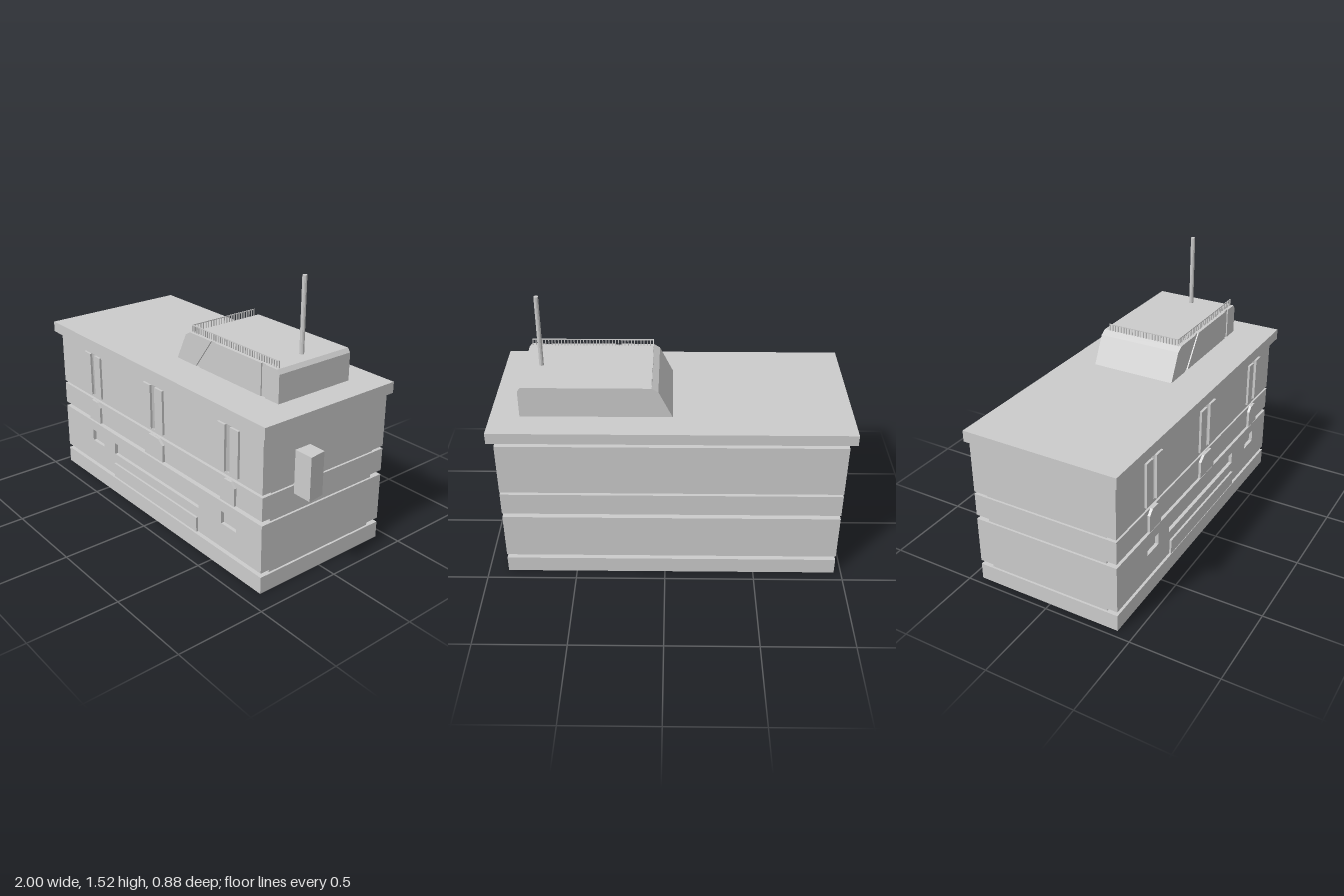
import * as THREE from 'three';

const solid = new THREE.MeshStandardMaterial({ color: 0xcccccc, flatShading: true });
const thin = new THREE.MeshStandardMaterial({ color: 0xcccccc, flatShading: true, side: THREE.DoubleSide });
const FRONT = 0.41;

function add(parent, name, geometry, material = solid) {
  const mesh = new THREE.Mesh(geometry, material);
  mesh.name = name;
  parent.add(mesh);
  return mesh;
}

// Box given by its limits on each axis
function box(parent, name, [x0, x1], [y0, y1], [z0, z1]) {
  const g = new THREE.BoxGeometry(x1 - x0, y1 - y0, z1 - z0);
  g.translate((x0 + x1) / 2, (y0 + y1) / 2, (z0 + z1) / 2);
  return add(parent, name, g);
}

// Polygon in the front plane, pushed out from z0 to z1
function slab(parent, name, points, z0, z1) {
  const shape = new THREE.Shape(points.map(p => new THREE.Vector2(...p)));
  const g = new THREE.ExtrudeGeometry(shape, { depth: z1 - z0, bevelEnabled: false });
  g.translate(0, 0, z0);
  return add(parent, name, g);
}

const rect = (x0, x1, y0, y1) => [[x0, y0], [x1, y0], [x1, y1], [x0, y1]];

// Geometry from four-cornered faces
function quads(list) {
  const pos = [];
  for (const [a, b, c, d] of list) pos.push(...a, ...b, ...c, ...a, ...c, ...d);
  const g = new THREE.BufferGeometry();
  g.setAttribute('position', new THREE.Float32BufferAttribute(pos, 3));
  g.computeVertexNormals();
  return g;
}

// Flat front wall with rectangular openings
function frontWall(parent, name, x0, x1, y0, y1, openings) {
  const shape = new THREE.Shape(rect(x0, x1, y0, y1).map(p => new THREE.Vector2(...p)));
  for (const o of openings) {
    shape.holes.push(new THREE.Path(rect(...o).reverse().map(p => new THREE.Vector2(...p))));
  }
  add(parent, name, new THREE.ShapeGeometry(shape).translate(0, 0, FRONT), thin);
}

// Shallow tray behind an opening
function recess(parent, name, [x0, x1, y0, y1], depth) {
  const outer = rect(x0, x1, y0, y1).map(p => [...p, FRONT]);
  const inner = rect(x0, x1, y0, y1).map(p => [...p, FRONT - depth]);
  const faces = [inner];
  for (let i = 0; i < 4; i++) {
    const j = (i + 1) % 4;
    faces.push([outer[i], outer[j], inner[j], inner[i]]);
  }
  add(parent, name, quads(faces), thin);
}

// V-shaped notch behind an opening
function notch(parent, name, [x0, x1, y0, y1], depth) {
  const xm = (x0 + x1) / 2, zi = FRONT - depth;
  const a = y => [x0, y, FRONT], b = y => [xm, y, zi], c = y => [x1, y, FRONT];
  add(parent, name, quads([
    [a(y0), b(y0), b(y1), a(y1)],
    [b(y0), c(y0), c(y1), b(y1)],
    [a(y0), c(y0), b(y0), b(y0)],
    [a(y1), b(y1), c(y1), c(y1)],
  ]), thin);
}

function buildBody() {
  const body = new THREE.Group();
  body.name = 'body';
  const ring = (y, inset) => {
    const x0 = inset ? -0.948 : -0.96, x1 = inset ? 0.878 : 0.89;
    const z0 = inset ? -0.37 : -0.44, z1 = inset ? 0.345 : FRONT;
    return [[x0, y, z1], [x1, y, z1], [x1, y, z0], [x0, y, z0]];
  };

  // Hollow stack of bands with set-back joints, open underneath
  const bands = [[0, 0.095], [0.12, 0.39], [0.415, 0.545], [0.56, 0.86]];
  const rings = [], pierced = new Set();
  bands.forEach(([y0, y1], i) => {
    if (i % 2) pierced.add(rings.length);
    const next = i < 3 ? bands[i + 1][0] : 0.88;
    rings.push(ring(y0, false), ring(y1, false), ring(y1, true), ring(next, true));
  });
  const faces = [];
  for (let r = 0; r < rings.length - 1; r++) {
    for (let i = 0; i < 4; i++) {
      if (i === 0 && pierced.has(r)) continue;
      const j = (i + 1) % 4;
      faces.push([rings[r][i], rings[r][j], rings[r + 1][j], rings[r + 1][i]]);
    }
  }
  add(body, 'bandedWalls', quads(faces), thin);

  // Lower front wall with windows
  const windows = [[-0.655, -0.535, 0.262, 0.333], [-0.415, 0.39, 0.262, 0.333], [0.58, 0.697, 0.262, 0.333]];
  frontWall(body, 'lowerFrontWall', -0.96, 0.89, 0.12, 0.39, windows);
  windows.forEach(w => recess(body, 'windowRecess', w, 0.02));
  box(body, 'frontLedge', [-0.41, 0.385], [0.12, 0.205], [0.4, 0.422]);

  // Upper front wall: pairs of raised panels beside a notch
  const bays = [
    [-0.685, -0.62, -0.583, -0.52],
    [-0.082, -0.015, 0.025, 0.095],
    [0.56, 0.617, 0.657, 0.72],
  ];
  const slots = bays.map(b => [b[1], b[2], 0.577, 0.838]);
  frontWall(body, 'upperFrontWall', -0.96, 0.89, 0.56, 0.86, slots);
  slots.forEach(s => notch(body, 'bayNotch', s, 0.03));
  for (const [a, b, c, d] of bays) {
    box(body, 'bayPanel', [a, b], [0.58, 0.837], [0.4, 0.423]);
    box(body, 'bayPanel', [c, d], [0.58, 0.837], [0.4, 0.423]);
  }

  // Clipped arches on the middle band
  for (const [x0, x1, cut] of [[-0.655, -0.54, 0.028], [-0.075, 0.093, 0.04], [0.59, 0.697, 0.028]]) {
    slab(body, 'arch', [[x0, 0.416], [x1, 0.416], [x1, 0.515], [x1 - cut, 0.544], [x0 + cut, 0.544], [x0, 0.515]], 0.4, 0.425);
  }

  // Box on the side wall, its outer face slightly skewed
  const side = box(body, 'sideBox', [0.885, 1], [0.5, 0.74], [0.105, 0.203]);
  const p = side.geometry.attributes.position;
  for (let i = 0; i < p.count; i++) if (p.getX(i) > 0.95 && p.getZ(i) < 0.15) p.setX(i, 0.988);
  side.geometry.computeVertexNormals();
  return body;
}

function buildCabin() {
  const cabin = new THREE.Group();
  cabin.name = 'roofCabin';
  const outline = [[-0.04, 0.94], [0.772, 0.94], [0.772, 1.093], [0.755, 1.115], [0.07, 1.115], [0.035, 1.093]];
  slab(cabin, 'cabinCore', outline, -0.272, 0.207);

  // Front cladding, split by a slanted and an upright joint
  slab(cabin, 'claddingRear', [[-0.04, 0.94], [0.122, 0.94], [0.252, 1.115], [0.07, 1.115], [0.035, 1.093]], 0.2, 0.214);
  slab(cabin, 'claddingMiddle', [[0.152, 0.94], [0.642, 0.94], [0.642, 1.115], [0.282, 1.115]], 0.2, 0.214);
  slab(cabin, 'claddingEnd', [[0.675, 0.94], [0.772, 0.94], [0.772, 1.093], [0.755, 1.115], [0.675, 1.115]], 0.2, 0.214);

  // Railing along the front and the sloped end
  const railing = new THREE.Group();
  railing.name = 'railing';
  const x0 = 0.07, x1 = 0.747, z0 = -0.238, z1 = 0.194, t = 0.0025;
  const post = (x, z) => box(railing, 'railingPost', [x - t, x + t], [1.112, 1.152], [z - t, z + t]);
  for (let i = 0; i <= 38; i++) post(x0 + (x1 - x0) * i / 38, z1);
  for (let i = 1; i <= 24; i++) post(x0, z1 + (z0 - z1) * i / 24);
  box(railing, 'frontRail', [x0 - t, x1 + t], [1.149, 1.154], [z1 - t, z1 + t]);
  box(railing, 'endRail', [x0 - t, x0 + t], [1.149, 1.154], [z0 - t, z1 + t]);
  cabin.add(railing);

  add(cabin, 'mast', new THREE.CylinderGeometry(0.0125, 0.0125, 0.41, 10).translate(0.672, 1.315, -0.028));
  return cabin;
}

export function createModel() {
  const model = new THREE.Group();
  model.name = 'building';
  model.add(buildBody(), buildCabin());
  box(model, 'roofSlab', [-1, 0.93], [0.878, 0.94], [-0.44, 0.44]);
  return model;
}
